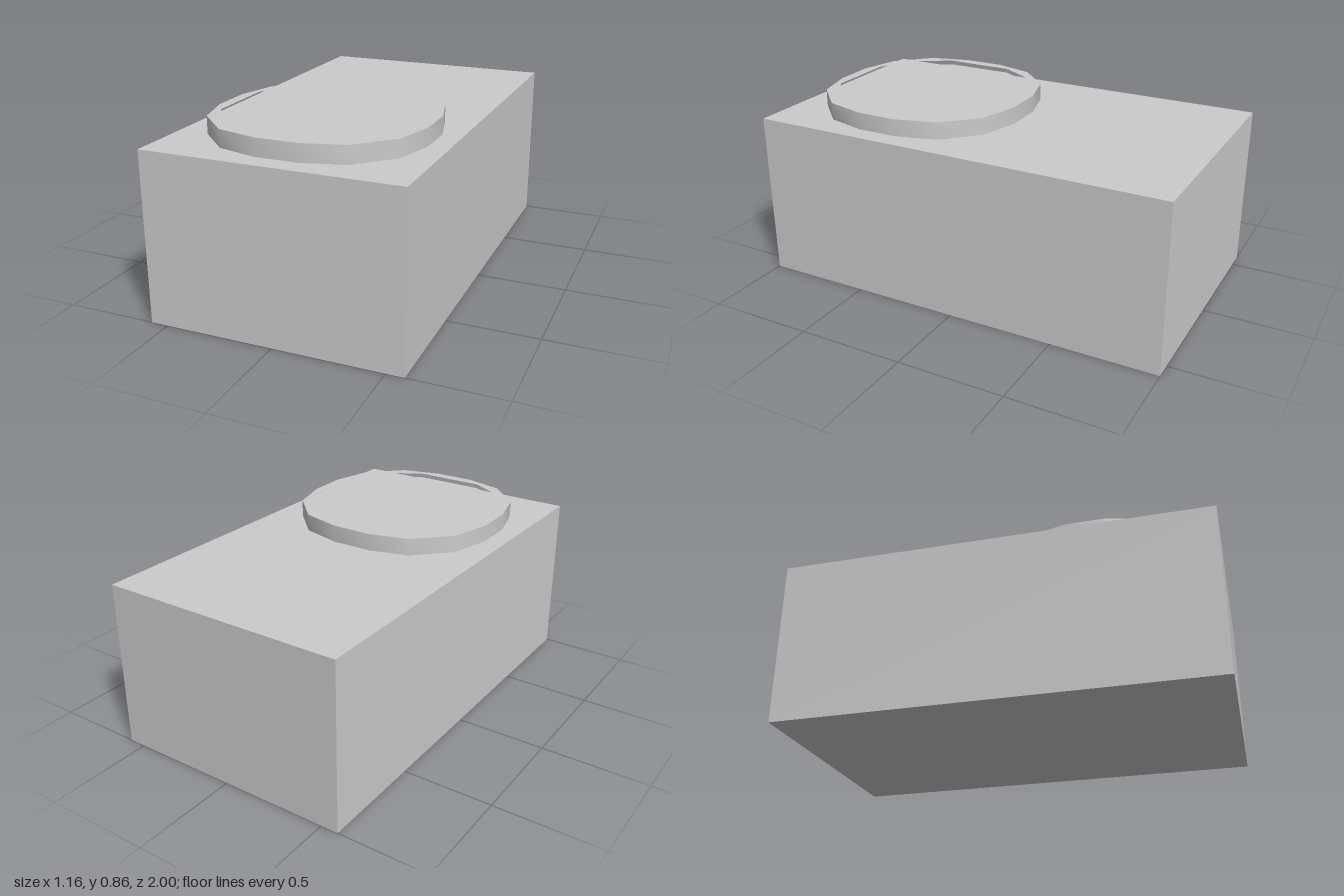
import * as THREE from 'three';
import { toCreasedNormals } from 'three/addons/utils/BufferGeometryUtils.js';

const BODY = { width: 1.16, height: 0.78, depth: 2 };
const DIAL_Z = 0.418;

// Mirrors one quadrant of corners (top towards the side) into a closed outline
function mirroredOutline(quadrant) {
  const back = [...quadrant].reverse();
  return [
    ...quadrant,
    ...back.map(([x, y]) => [x, -y]),
    ...quadrant.map(([x, y]) => [-x, -y]),
    ...back.map(([x, y]) => [-x, y]),
  ].map(([x, y]) => new THREE.Vector2(x, y));
}

// Extrudes a flat shape upwards from the top of the body
function raised(shape, height) {
  const geometry = new THREE.ExtrudeGeometry(shape, { depth: height, bevelEnabled: false });
  geometry.rotateX(-Math.PI / 2);
  geometry.translate(0, BODY.height, DIAL_Z);
  return toCreasedNormals(geometry, 0.6);
}

export function createModel() {
  const model = new THREE.Group();
  const material = new THREE.MeshStandardMaterial({ color: 0xcccccc });
  const add = (name, geometry) => {
    const mesh = new THREE.Mesh(geometry, material);
    mesh.name = name;
    model.add(mesh);
  };

  // Plain block
  const body = new THREE.BoxGeometry(BODY.width, BODY.height, BODY.depth);
  body.translate(0, BODY.height / 2, 0);
  add('body', body);

  // Sixteen-sided rim around a twelve-sided opening
  const outer = mirroredOutline([[0.098, 0.487], [0.285, 0.436], [0.436, 0.285], [0.487, 0.095]]);
  const inner = mirroredOutline([[0.168, 0.437], [0.337, 0.338], [0.437, 0.167]]);
  const rim = new THREE.Shape(outer);
  rim.holes.push(new THREE.Path(inner));
  add('rim', raised(rim, 0.08));

  // Slightly recessed plate inside the rim
  add('recessedPlate', raised(new THREE.Shape(inner), 0.06));

  return model;
}
